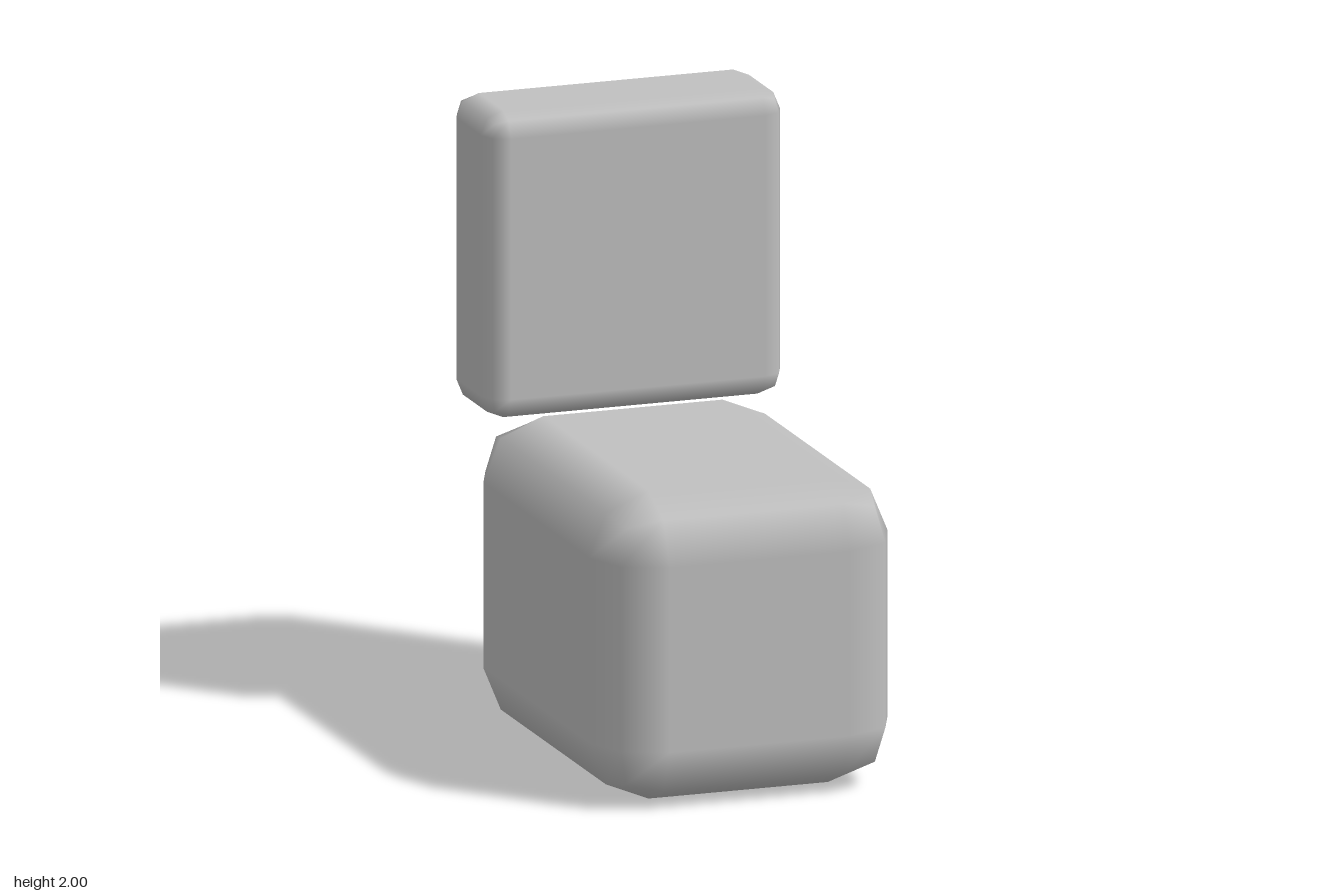
import * as THREE from 'three';
import { RoundedBoxGeometry } from 'three/addons/geometries/RoundedBoxGeometry.js';

// Blocky armless chair: two soft-edged cushions with two-step bevels.
export function createModel() {
  const group = new THREE.Group();
  group.name = 'chair';

  const upholstery = new THREE.MeshStandardMaterial({ color: 0xc0c0c0 });
  upholstery.name = 'grey upholstery';

  function cushion(name, [width, height, depth], radius, [x, y, z]) {
    const mesh = new THREE.Mesh(new RoundedBoxGeometry(width, height, depth, 1, radius), upholstery);
    mesh.name = name;
    mesh.position.set(x, y, z);
    group.add(mesh);
  }

  // Deep seat block on the ground
  cushion('seat', [1, 1, 1.375], 0.2, [0, 0.5, 0.0625]);
  // Thin upright backrest, overhanging the rear of the seat
  cushion('backrest', [1, 0.998, 0.375], 0.075, [0, 1.501, -0.5625]);

  return group;
}
